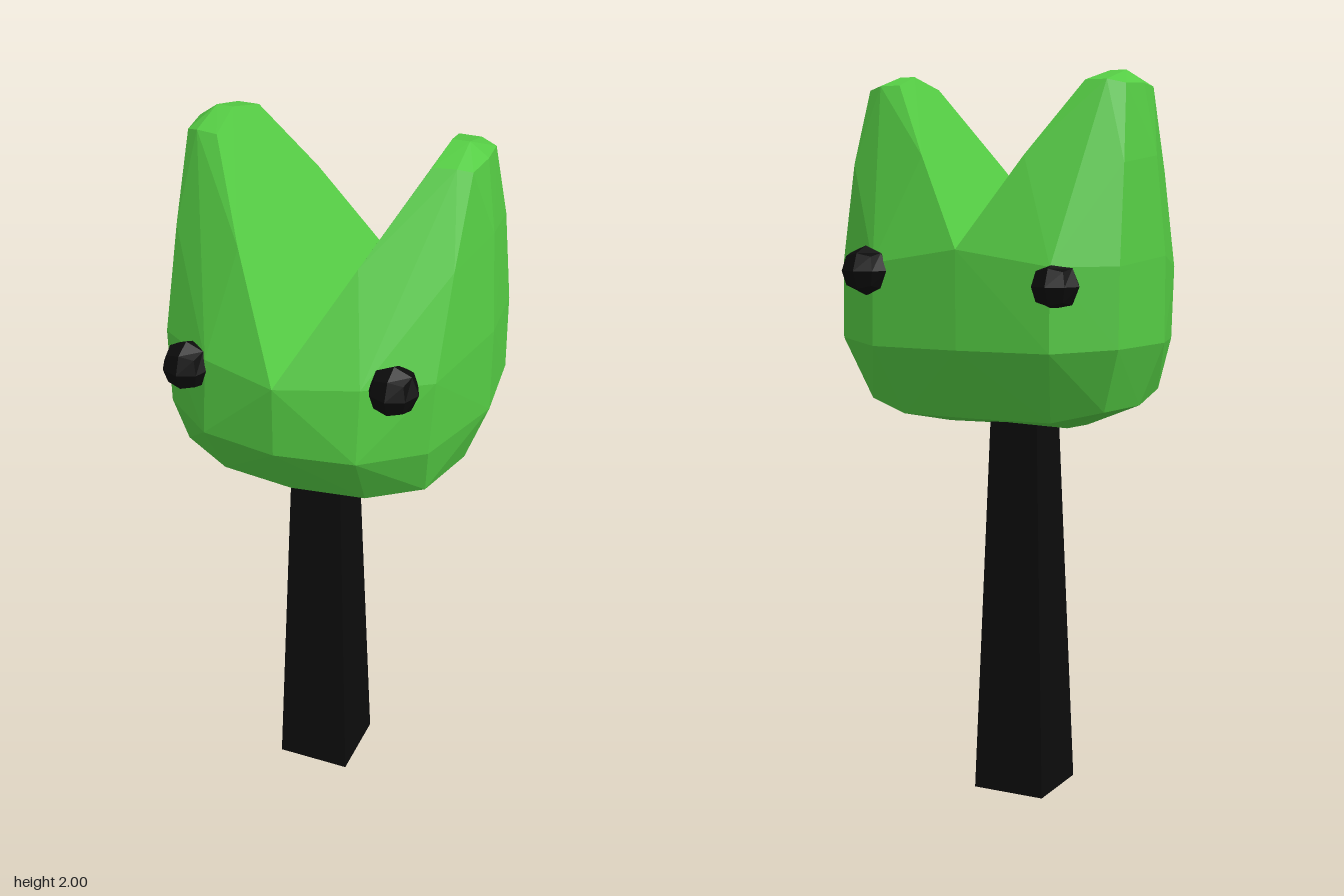
import * as THREE from 'three';
import { ConvexGeometry } from 'three/addons/geometries/ConvexGeometry.js';

const green = new THREE.MeshStandardMaterial({ color: 0x55cc44, flatShading: true });
const black = new THREE.MeshStandardMaterial({ color: 0x0c0c0c, flatShading: true });

function addMesh(parent, name, geometry, material, x = 0, y = 0, z = 0) {
  const mesh = new THREE.Mesh(geometry, material);
  mesh.name = name;
  mesh.position.set(x, y, z);
  parent.add(mesh);
  return mesh;
}

// One half of the notched head, ring by ring from the base to the tip
const lobeRings = [
  [[0, 1.04, 0.03], [0.2, 1.05, 0.03], [0.18, 1.05, -0.06]],
  [[0, 1.115, 0.29], [0.2, 1.12, 0.27], [0.34, 1.14, 0.2], [0.375, 1.12, -0.02],
    [0.35, 1.12, -0.2], [0.22, 1.09, -0.25], [0, 1.09, -0.26]],
  [[0, 1.28, 0.4], [0.21, 1.28, 0.365], [0.36, 1.28, 0.245], [0.44, 1.29, -0.01],
    [0.41, 1.29, -0.25], [0.26, 1.28, -0.345], [0, 1.28, -0.36]],
  [[0, 1.47, 0.4], [0.21, 1.48, 0.34], [0.37, 1.48, 0.235], [0.44, 1.52, -0.01],
    [0.41, 1.5, -0.245], [0.26, 1.5, -0.34], [0, 1.54, -0.36]],
  [[0.16, 1.75, 0.23], [0.375, 1.74, 0.14], [0.42, 1.78, -0.03],
    [0.4, 1.76, -0.2], [0.15, 1.78, -0.265]],
  [[0.285, 1.97, 0.07], [0.345, 1.97, 0.06], [0.38, 1.96, 0.04], [0.39, 1.965, -0.05],
    [0.38, 1.96, -0.145], [0.335, 1.97, -0.165], [0.275, 1.97, -0.165]],
  [[0.295, 2, -0.05], [0.34, 2, -0.05]],
];

function lobeGeometry(side) {
  return new ConvexGeometry(lobeRings.flat().map(([x, y, z]) => new THREE.Vector3(side * x, y, z)));
}

// Faceted ball: a divided cube pushed out to a sphere
function budGeometry(radius) {
  const geometry = new THREE.BoxGeometry(1, 1, 1, 2, 2, 2);
  const p = geometry.attributes.position;
  const v = new THREE.Vector3();
  for (let i = 0; i < p.count; i++) {
    v.fromBufferAttribute(p, i).setLength(radius);
    p.setXYZ(i, v.x, v.y, v.z);
  }
  geometry.computeVertexNormals();
  return geometry;
}

// Tapered square stem, shifted a little as it rises
function stemGeometry() {
  const height = 1.1;
  const geometry = new THREE.CylinderGeometry(0.07 * Math.SQRT2, 0.106 * Math.SQRT2, height, 4);
  geometry.rotateY(Math.PI / 4);
  geometry.translate(-0.019, height / 2, 0.006);
  return geometry;
}

export function createModel() {
  const model = new THREE.Group();
  model.name = 'notchedTree';

  addMesh(model, 'stem', stemGeometry(), black);

  const head = new THREE.Group();
  head.name = 'head';
  model.add(head);
  addMesh(head, 'leftLobe', lobeGeometry(1), green);
  addMesh(head, 'rightLobe', lobeGeometry(-1), green);

  // Four round buds at the corners of the head
  const bud = budGeometry(0.066);
  const buds = [
    ['frontLeftBud', 0.285, 1.48, 0.305],
    ['frontRightBud', -0.265, 1.45, 0.33],
    ['backLeftBud', 0.28, 1.48, -0.34],
    ['backRightBud', -0.262, 1.45, -0.31],
  ];
  for (const [name, x, y, z] of buds) addMesh(head, name, bud, black, x, y, z);

  return model;
}
